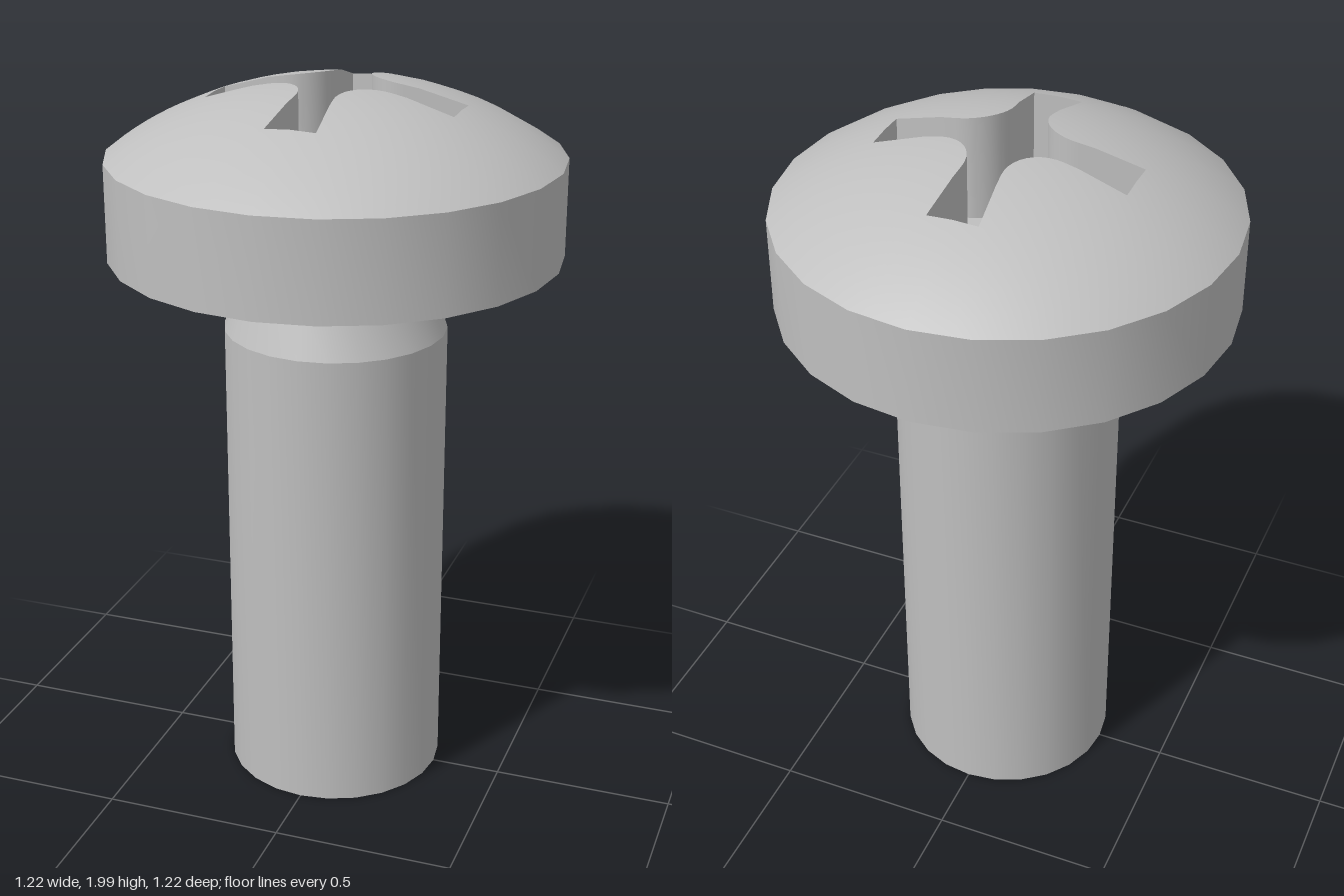
import * as THREE from 'three';
import { toCreasedNormals } from 'three/addons/utils/BufferGeometryUtils.js';

const SIDES = 24, STEP = (Math.PI * 2) / SIDES;
const HEAD_R = 0.612, RIM_Y = 1.8, TOP_Y = 2, FLOOR_Y = 1.7;
const SPHERE_R = (HEAD_R ** 2 + (TOP_Y - RIM_Y) ** 2) / (2 * (TOP_Y - RIM_Y));
const DOME_CENTRE = TOP_Y - SPHERE_R;

// Radius of the 24-sided head, relative to its corners, at an angle
function facet(angle) {
  const local = angle - Math.round(angle / STEP - 0.5) * STEP - STEP / 2;
  return Math.cos(STEP / 2) / Math.cos(local);
}

function domePoint(angle, r) {
  const y = DOME_CENTRE + Math.sqrt(SPHERE_R ** 2 - (r / facet(angle)) ** 2);
  return new THREE.Vector3(r * Math.cos(angle), y, r * Math.sin(angle));
}

// Cross outline: flared arms joined by round inner corners, as [angle, radius]
function crossOutline() {
  const quarter = [[0.34, 0.068]];
  for (let i = 0; i <= 10; i++) {
    const a = THREE.MathUtils.degToRad(275 - i * 10);
    quarter.push([0.158 + 0.106 * Math.cos(a), 0.158 + 0.106 * Math.sin(a)]);
  }
  quarter.push([0.068, 0.34]);
  const polar = [];
  for (let q = 0; q < 4; q++) {
    for (const [x, z] of quarter) polar.push([Math.atan2(z, x) + q * Math.PI / 2, Math.hypot(x, z)]);
  }
  polar.push([polar[0][0] + Math.PI * 2, polar[0][1]]);

  // Add a point wherever a corner of the head rim falls between two points
  const out = [];
  for (let i = 0; i < polar.length - 1; i++) {
    const [t0, r0] = polar[i], [t1, r1] = polar[i + 1];
    out.push(polar[i]);
    for (let k = Math.ceil((t0 + 1e-3) / STEP); k * STEP < t1 - 1e-3; k++) {
      const t = k * STEP;
      out.push([t, r0 * r1 * Math.sin(t1 - t0) / (r0 * Math.sin(t - t0) + r1 * Math.sin(t1 - t))]);
    }
  }
  out.push(polar[polar.length - 1]);
  return out;
}

// Surface through rows of points
function loft(rows) {
  const n = rows[0].length, index = [];
  for (let j = 0; j < rows.length - 1; j++) {
    for (let i = 0; i < n - 1; i++) {
      const a = j * n + i, b = a + 1, c = a + n, d = c + 1;
      index.push(a, b, c, b, d, c);
    }
  }
  const geometry = new THREE.BufferGeometry().setFromPoints(rows.flat());
  geometry.setIndex(index);
  geometry.computeVertexNormals();
  return geometry;
}

export function createModel() {
  const group = new THREE.Group();
  const steel = new THREE.MeshStandardMaterial({ color: 0xbfbfbf });
  steel.name = 'steel grey';
  const add = (name, geometry) => {
    const mesh = new THREE.Mesh(geometry, steel);
    mesh.name = name;
    group.add(mesh);
  };
  const lathe = (name, profile) => add(name, toCreasedNormals(
    new THREE.LatheGeometry(profile.map(([r, y]) => new THREE.Vector2(r, y)), SIDES), 0.3));

  // Shaft with chamfered top and flared neck
  lathe('shaft', [[0, 0], [0.305, 0], [0.305, 1.325], [0.265, 1.43]]);
  lathe('neck', [[0.265, 1.43], [0.362, 1.535]]);

  // Head underside and straight band
  lathe('headBand', [[0.362, 1.535], [HEAD_R, 1.535], [HEAD_R, RIM_Y]]);

  // Domed top around the cross recess
  const outline = crossOutline();
  const rings = 8, rows = [];
  for (let j = 0; j <= rings; j++) {
    rows.push(outline.map(([t, r]) =>
      domePoint(t, THREE.MathUtils.lerp(r, HEAD_R * facet(t), j / rings))));
  }
  const dome = loft(rows);
  const pos = dome.attributes.position, normal = new THREE.Vector3();
  for (let i = 0; i < pos.count; i++) {
    normal.fromBufferAttribute(pos, i);
    normal.y -= DOME_CENTRE;
    normal.normalize();
    dome.attributes.normal.setXYZ(i, normal.x, normal.y, normal.z);
  }
  add('headDome', dome);

  // Recess walls and floor
  const edge = rows[0];
  const floor = edge.map((p) => new THREE.Vector3(p.x, FLOOR_Y, p.z));
  add('recessWalls', toCreasedNormals(loft([floor, edge]), 0.3));
  add('recessFloor', loft([floor.map(() => new THREE.Vector3(0, FLOOR_Y, 0)), floor]));

  return group;
}
